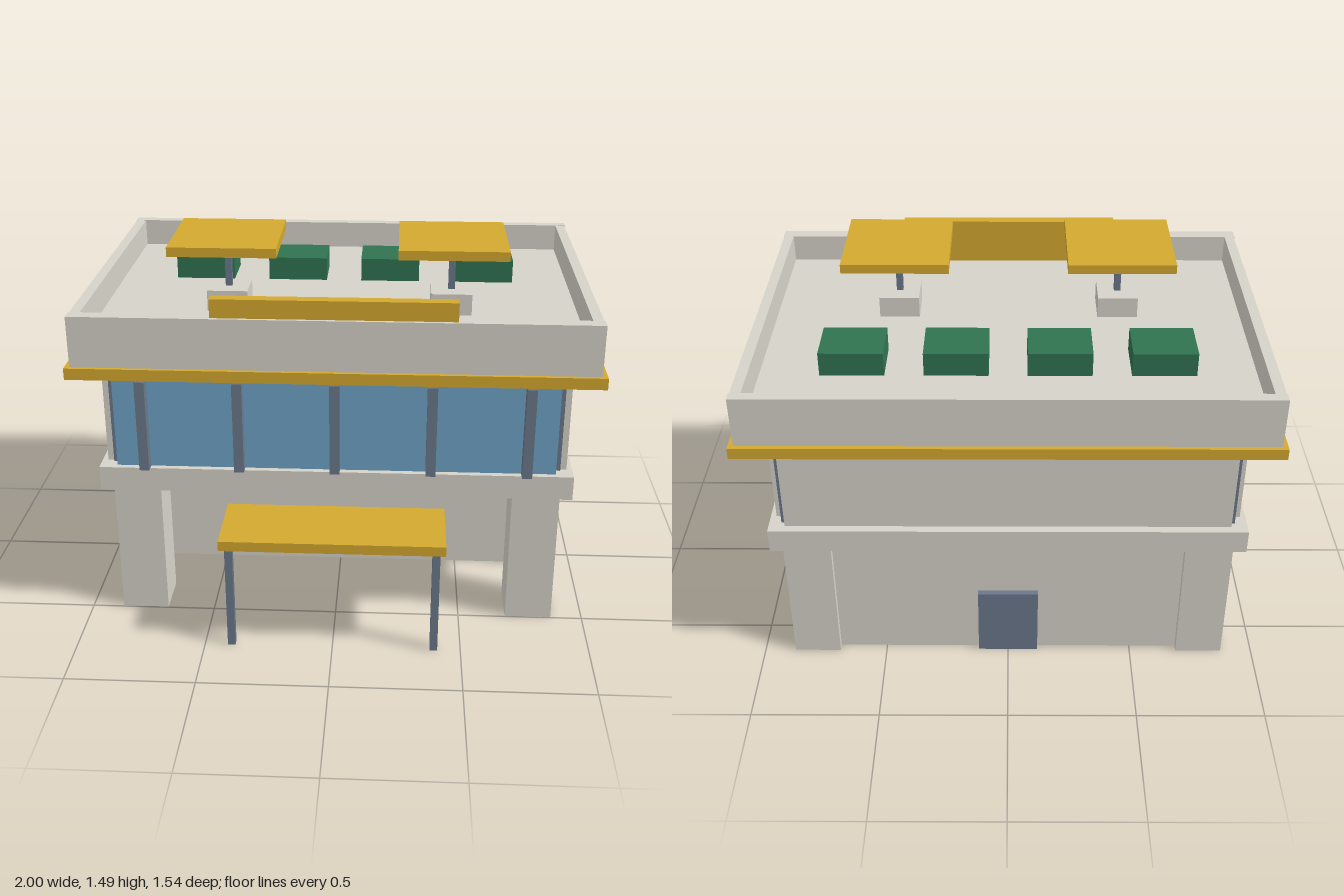
import * as THREE from 'three';

const mat = (color) => new THREE.MeshStandardMaterial({ color, flatShading: true });

export function createModel() {
  const model = new THREE.Group();
  const stone = mat(0xd5d2c8), gold = mat(0xd3a82f), glass = mat(0x6fa3c6);
  const slate = mat(0x6b778a), green = mat(0x2f7350);

  // Box given by its extents on each axis
  const box = (name, material, [x0, x1], [y0, y1], [z0, z1]) => {
    const mesh = new THREE.Mesh(new THREE.BoxGeometry(x1 - x0, y1 - y0, z1 - z0), material);
    mesh.position.set((x0 + x1) / 2, (y0 + y1) / 2, (z0 + z1) / 2);
    mesh.name = name;
    model.add(mesh);
  };
  // The same box on both sides of x = 0
  const pair = (name, material, [x0, x1], y, z) => {
    box(name + 'Left', material, [x0, x1], y, z);
    box(name + 'Right', material, [-x1, -x0], y, z);
  };

  // Ground floor: core, corner pillars, back door
  box('groundCore', stone, [-0.83, 0.83], [0, 0.565], [-0.615, 0.07]);
  pair('frontPillar', stone, [0.69, 0.875], [0, 0.565], [0.315, 0.495]);
  pair('backPillar', stone, [0.69, 0.875], [0, 0.565], [-0.645, -0.465]);
  box('backDoor', slate, [-0.12, 0.12], [0, 0.3], [-0.637, -0.605]);

  // Entrance canopy on two posts
  box('canopy', gold, [-0.43, 0.43], [0.435, 0.475], [0.47, 0.77]);
  pair('canopyPost', slate, [0.38, 0.41], [0, 0.435], [0.72, 0.75]);

  // Upper floor
  box('floorSlab', stone, [-0.917, 0.917], [0.565, 0.662], [-0.688, 0.54]);
  box('upperBody', stone, [-0.855, 0.855], [0.662, 1.06], [-0.655, 0.472]);
  pair('sideWall', stone, [0.85, 0.895], [0.662, 1.06], [-0.595, 0.475]);
  pair('sideWindow', glass, [0.88, 0.906], [0.715, 0.935], [-0.49, 0.365]);
  pair('frontCornerPost', slate, [0.80, 0.87], [0.662, 1.06], [0.415, 0.485]);
  pair('backCornerPost', slate, [0.80, 0.87], [0.662, 1.06], [-0.635, -0.565]);

  // Front window band with mullions
  box('frontWindow', glass, [-0.85, 0.85], [0.662, 1.03], [0.465, 0.517]);
  for (let i = -2; i <= 2; i++) {
    const x = i * 0.368;
    box('mullion', slate, [x - 0.019, x + 0.019], [0.662, 1.03], [0.515, 0.56]);
  }

  // Roof: gold trim, deck and parapet
  box('roofTrim', gold, [-1, 1], [1.06, 1.105], [-0.77, 0.617]);
  box('roofDeck', stone, [-0.975, 0.975], [1.105, 1.19], [-0.748, 0.598]);
  box('frontParapet', stone, [-0.98, 0.98], [1.105, 1.303], [0.55, 0.602]);
  box('backParapet', stone, [-0.98, 0.98], [1.105, 1.303], [-0.752, -0.71]);
  pair('sideParapet', stone, [0.937, 0.977], [1.105, 1.302], [-0.74, 0.59]);
  box('signBoard', gold, [-0.452, 0.452], [1.19, 1.375], [0.546, 0.59]);

  // Two sunshades, each on a pole and footing
  pair('shadeFooting', stone, [0.36, 0.52], [1.19, 1.275], [0.04, 0.2]);
  pair('shadePole', slate, [0.428, 0.454], [1.275, 1.452], [0.108, 0.134]);
  pair('shadePanel', gold, [0.23, 0.648], [1.45, 1.487], [-0.088, 0.327]);

  // Row of planters
  for (const x of [0.195, 0.587]) {
    pair('planter', green, [x - 0.122, x + 0.122], [1.19, 1.285], [-0.413, -0.217]);
  }
  return model;
}
